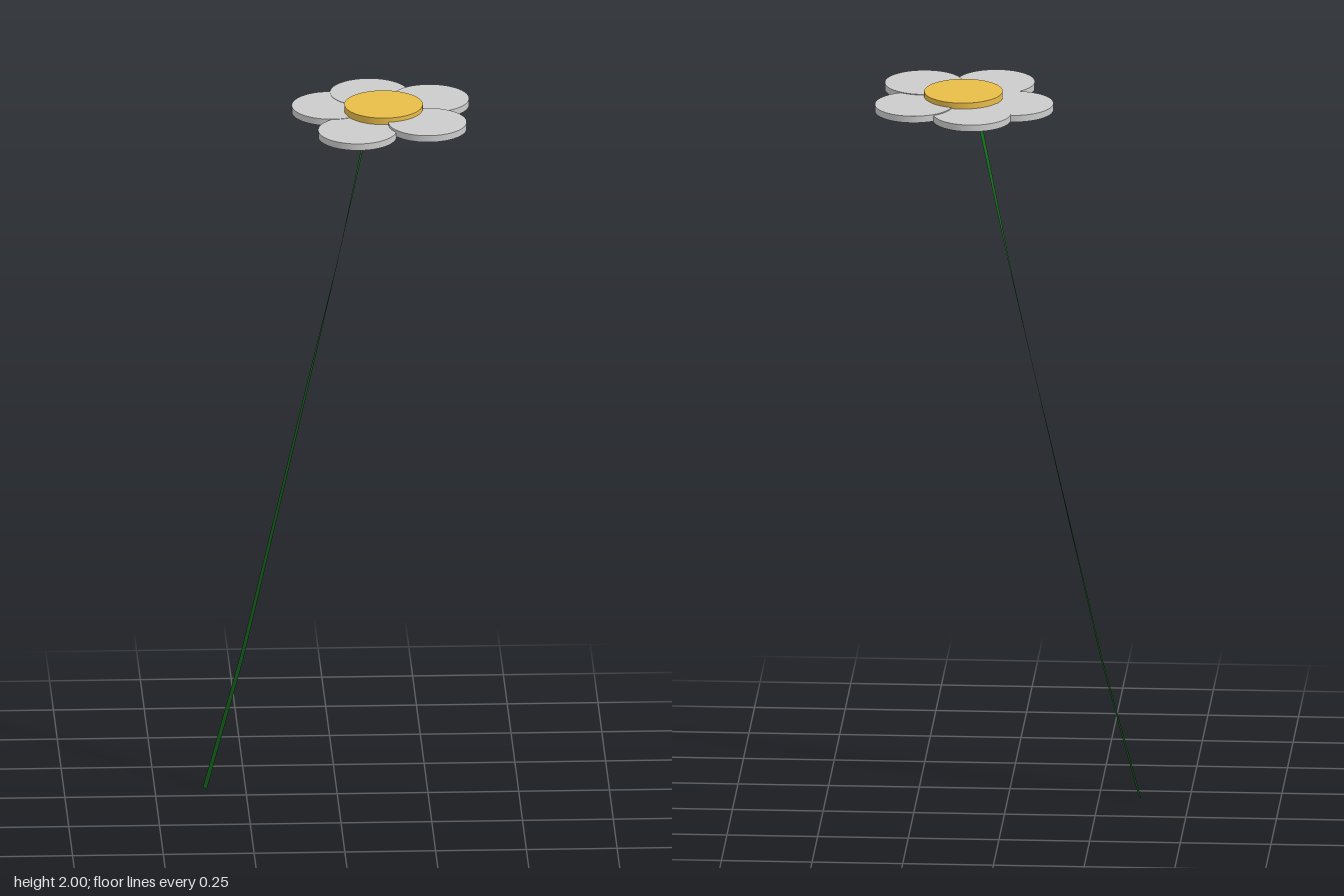
import * as THREE from 'three';

export function createModel() {
  const flower = new THREE.Group();
  flower.name = 'flower';

  const grey = new THREE.MeshStandardMaterial({ color: 0xcccccc });
  const yellow = new THREE.MeshStandardMaterial({ color: 0xe8bc48 });
  const green = new THREE.MeshStandardMaterial({ color: 0x146a1c, side: THREE.DoubleSide });

  // Petals and centre are the same slightly oval disc
  const thickness = 0.019;
  const disc = new THREE.CylinderGeometry(1, 1, thickness, 64).scale(0.108, 1, 0.119);
  const addDisc = (name, material, x, top, z) => {
    const mesh = new THREE.Mesh(disc, material);
    mesh.name = name;
    mesh.position.set(x, top - thickness / 2, z);
    flower.add(mesh);
  };

  // x, top height, z of each petal
  const petals = [
    [0.049, 1.981, 0.157],
    [-0.015, 1.982, -0.055],
    [0.095, 1.983, -0.16],
    [0.259, 1.986, -0.093],
    [0.244, 1.988, 0.115],
  ];
  petals.forEach(([x, top, z], i) => addDisc(`petal${i + 1}`, grey, x, top, z));
  addDisc('flowerCentre', yellow, 0.128, 2, -0.005);

  // Stem: a thin ribbon that bends and twists; x, y, z of its middle, then half its width as dx, dz
  const sections = [
    [-0.362, 0, -0.0625, 0.0045, 0.0125],
    [-0.26, 0.38, -0.0632, 0.004, 0.0122],
    [-0.084, 1.15, -0.053, 0.002, 0.0105],
    [0.0, 1.52, -0.043, -0.0005, 0.01],
    [0.094, 1.98, -0.028, -0.005, 0.0095],
  ];
  const points = [];
  const faces = [];
  sections.forEach(([x, y, z, dx, dz], i) => {
    points.push(x - dx, y, z - dz, x + dx, y, z + dz);
    if (i === 0) return;
    const a = 2 * (i - 1);
    faces.push(a, a + 2, a + 1, a + 1, a + 2, a + 3);
  });
  const ribbon = new THREE.BufferGeometry();
  ribbon.setAttribute('position', new THREE.Float32BufferAttribute(points, 3));
  ribbon.setIndex(faces);
  ribbon.computeVertexNormals();
  const stem = new THREE.Mesh(ribbon, green);
  stem.name = 'stem';
  flower.add(stem);

  return flower;
}
